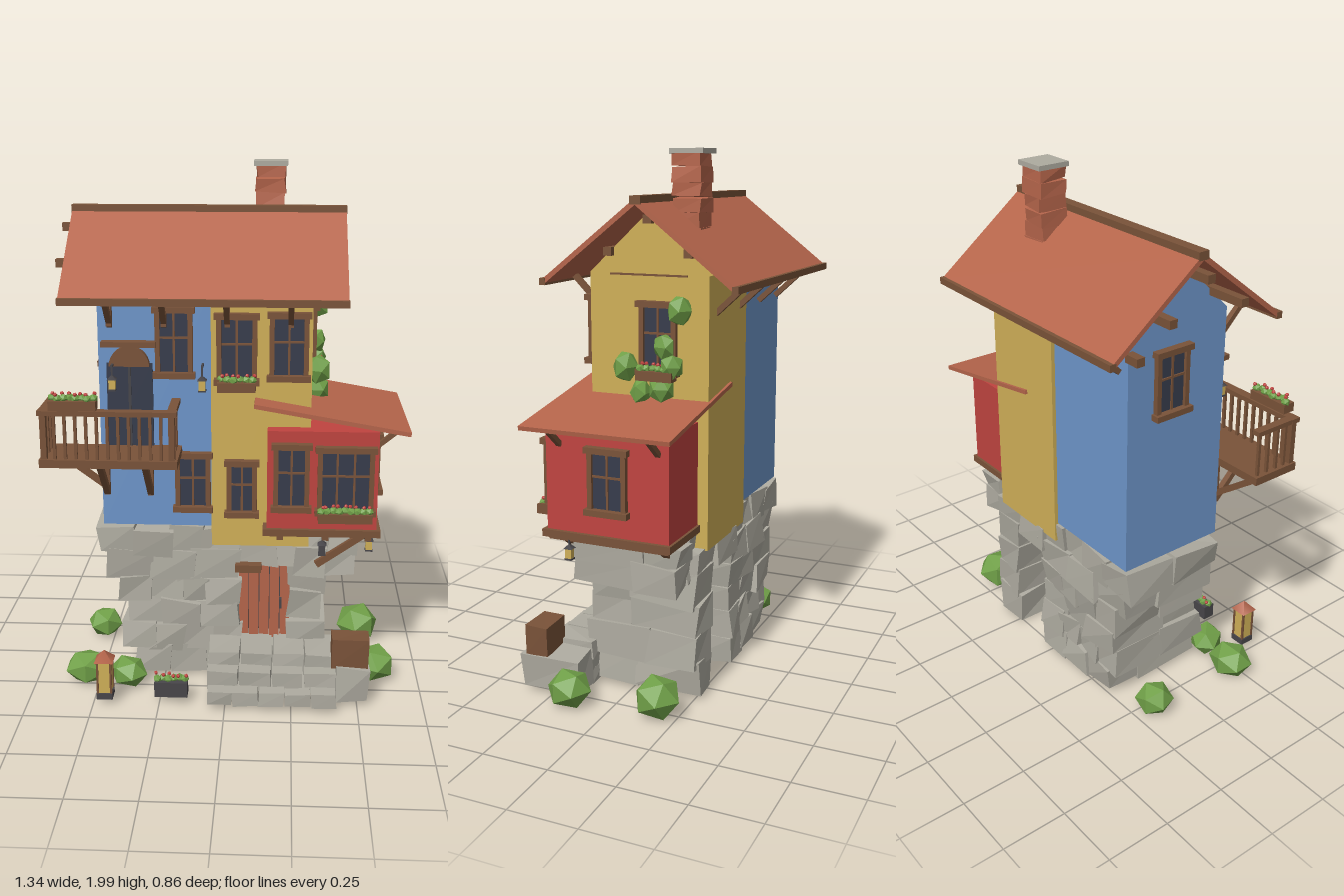
import * as THREE from 'three';

const mat = (name, color) => {
  const m = new THREE.MeshStandardMaterial({ color });
  m.name = name;
  return m;
};

export function createModel() {
  const root = new THREE.Group();
  root.name = 'house';
  const M = {
    roof: mat('terracotta', 0xb5654b), yellow: mat('yellow plaster', 0xd0b058),
    blue: mat('blue plaster', 0x6e96ca), red: mat('red plaster', 0xc04440),
    stone: mat('stone', 0xaeaba0), wood: mat('wood', 0x7a5339),
    glass: mat('dark glass', 0x373c4c), leaf: mat('leaves', 0x70a048),
    metal: mat('dark metal', 0x48464a),
  };
  let seed = 7;
  const rnd = () => (seed = (seed * 16807) % 2147483647) / 2147483647;
  const jit = (a) => (rnd() - 0.5) * 2 * a;

  const add = (name, geo, m, p = [0, 0, 0], parent = root) => {
    const mesh = new THREE.Mesh(geo, m);
    mesh.name = name;
    mesh.position.set(...p);
    parent.add(mesh);
    return mesh;
  };
  // box given by its limits on each axis
  const span = (name, m, x0, x1, y0, y1, z0, z1, parent = root) =>
    add(name, new THREE.BoxGeometry(x1 - x0, y1 - y0, z1 - z0), m,
      [(x0 + x1) / 2, (y0 + y1) / 2, (z0 + z1) / 2], parent);
  // bar of square section between two points
  const beam = (name, a, b, t = 0.02, m = M.wood, parent = root) => {
    const A = new THREE.Vector3(...a), B = new THREE.Vector3(...b);
    const mesh = add(name, new THREE.BoxGeometry(t, t, A.distanceTo(B)), m, [0, 0, 0], parent);
    mesh.position.copy(A).lerp(B, 0.5);
    mesh.lookAt(B);
    return mesh;
  };
  // rough block: each of the eight corners is shifted
  const stone = (x0, x1, y0, y1, z0, z1, a = 0.013, m = M.stone, name = 'stone', parent = root) => {
    const g = new THREE.BoxGeometry(x1 - x0, y1 - y0, z1 - z0).toNonIndexed();
    const off = Array.from({ length: 8 }, () => [jit(a), jit(a), jit(a)]);
    const p = g.attributes.position;
    for (let i = 0; i < p.count; i++) {
      const x = p.getX(i), y = p.getY(i), z = p.getZ(i);
      const o = off[(x > 0) + 2 * (y > 0) + 4 * (z > 0)];
      p.setXYZ(i, x + o[0], y + o[1], z + o[2]);
    }
    g.computeVertexNormals();
    return add(name, g, m, [(x0 + x1) / 2, (y0 + y1) / 2, (z0 + z1) / 2], parent);
  };
  // one course of blocks, n across and two deep
  const course = (x0, x1, y0, y1, n, z0 = -0.265, z1 = 0.165) => {
    const w = (x1 - x0) / n, s = jit(0.06) - 0.05;
    for (let i = 0; i < n; i++) {
      const a = x0 + i * w - 0.008, b = x0 + (i + 1) * w + 0.008;
      stone(a, b, y0 - 0.006, y1 + 0.006, s - 0.008, z1 + jit(0.012));
      stone(a, b, y0 - 0.006, y1 + 0.006, z0 + jit(0.012), s + 0.008);
    }
  };

  // stone base: left mass, right pillar, lintel and flared top
  const leftEdge = [-0.36, -0.4, -0.39, -0.41, -0.46, -0.49];
  leftEdge.forEach((x, i) => course(x, 0.04, 0.035 + i * 0.1, 0.135 + i * 0.1, 3 + (i % 2)));
  for (let i = 0; i < 4; i++) course(0.24, 0.36 + jit(0.015), 0.035 + i * 0.115, 0.15 + i * 0.115, 1);
  course(0.03, 0.36, 0.495, 0.58, 2);
  course(0.26, 0.49, 0.47, 0.56, 2, -0.24);
  course(0.3, 0.48, 0.56, 0.635, 2, -0.24);
  span('passage back', M.metal, 0.03, 0.25, 0.1, 0.5, 0.04, 0.06);
  span('passage floor', M.stone, 0.03, 0.25, 0.04, 0.17, -0.1, 0.2);

  // steps and landing
  [[0.14, 0.19, 0.31, 4], [0.085, 0.14, 0.37, 4], [0.03, 0.085, 0.425, 5]].forEach(([y0, y1, z1, n], k) => {
    const w = 0.49 / n;
    for (let i = 0; i < n; i++) {
      const x = -0.07 + i * w;
      stone(x + 0.002, x + w - 0.002, k === 2 ? y0 : y0 - 0.02, y1, 0.14, z1, 0.005, M.stone, 'step');
    }
  });
  stone(0.415, 0.54, 0.03, 0.165, 0.14, 0.37, 0.008, M.stone, 'landing');

  // plank door
  for (let i = 0; i < 5; i++)
    span('doorPlank', M.roof, 0.043 + i * 0.04, 0.08 + i * 0.04, 0.18, 0.49, 0.12, 0.145 + (i % 2) * 0.006);
  span('doorLintel', M.wood, 0.03, 0.13, 0.47, 0.5, 0.13, 0.19);
  span('doorHandle', M.metal, 0.2, 0.21, 0.31, 0.35, 0.14, 0.165);

  // plastered walls with gables
  const gable = (name, m, x0, x1, y0, zb, zf) => {
    const s = new THREE.Shape();
    s.moveTo(-zf, y0);
    s.lineTo(-zb, y0);
    s.lineTo(-zb, 1.57);
    s.lineTo(0.05, 1.785);
    s.lineTo(-zf, 1.57);
    const g = new THREE.ExtrudeGeometry(s, { depth: x1 - x0, bevelEnabled: false }).rotateY(Math.PI / 2);
    add(name, g, m, [x0, 0, 0]);
  };
  gable('blueWalls', M.blue, -0.475, -0.055, 0.655, -0.265, 0.17);
  gable('yellowWalls', M.yellow, -0.06, 0.31, 0.58, -0.28, 0.18);
  span('redBay', M.red, 0.15, 0.56, 0.66, 1.055, -0.24, 0.235);
  span('gableTie', M.wood, 0.31, 0.314, 1.563, 1.57, -0.2, 0.1);

  // main roof: two slabs, ridge, eaves, purlins and braces
  const slope = (z1, name) => {
    const L = Math.hypot(z1 + 0.055, 0.285);
    const m = add(name, new THREE.BoxGeometry(1.02, 0.018, L), M.roof, [-0.08, 1.68, (z1 - 0.055) / 2]);
    m.rotation.x = Math.atan2(0.285, z1 + 0.055) * 1;
    if (z1 < 0) m.rotation.x = -Math.atan2(0.285, -(z1 + 0.055));
    span(name + 'Eave', M.wood, -0.592, 0.432, 1.527, 1.552, z1 - 0.012, z1 + 0.012);
  };
  slope(0.31, 'frontRoof');
  slope(-0.42, 'backRoof');
  span('ridgeBeam', M.wood, -0.592, 0.432, 1.812, 1.842, -0.077, -0.035);
  [[-0.34, 1.55], [-0.21, 1.645], [-0.055, 1.76], [0.1, 1.645]].forEach(([z, y]) =>
    span('purlin', M.wood, -0.63, z === -0.34 ? -0.57 : 0.335, y - 0.015, y + 0.015, z - 0.016, z + 0.016));
  [-0.43, -0.23, 0, 0.23].forEach((x) => {
    beam('eaveBrace', [x, 1.43, 0.17], [x, 1.55, 0.29]);
    beam('eaveBrace', [x, 1.43, -0.27], [x, 1.55, -0.4]);
    span('wallPost', M.wood, x - 0.01, x + 0.01, 1.43, 1.55, 0.165, 0.195);
  });

  // chimney of offset brick courses
  for (let i = 0; i < 7; i++)
    stone(0.095 + jit(0.005), 0.2 + jit(0.005), 1.62 + i * 0.053, 1.672 + i * 0.053, -0.2, -0.092, 0.005, M.roof, 'chimneyCourse');
  span('chimneyCap', M.stone, 0.085, 0.212, 1.982, 2, -0.212, -0.085);

  // bay roof, trim and supports
  const lean = add('bayRoof', new THREE.BoxGeometry(0.575, 0.016, 0.57), M.roof, [0.385, 1.11, -0.005]);
  lean.rotation.z = -0.172;
  span('baySill', M.wood, 0.135, 0.575, 0.648, 0.675, -0.25, 0.25);
  [0.18, -0.2].forEach((z) => {
    beam('bayRoofBrace', [0.56, 0.99, z], [0.645, 1.06, z], 0.018);
    beam('bayBrace', [0.34, 0.51, z], [0.53, 0.645, z], 0.026);
  });
  [0.2, 0.37, 0.53].forEach((x) => span('bayJoist', M.wood, x - 0.012, x + 0.012, 0.63, 0.65, -0.23, 0.24));

  // window: glass, frame, bars, sill and head, facing +z before turning
  const windowAt = (x, y, z, w, h, turn = 0, panes = 2) => {
    const g = new THREE.Group();
    g.name = 'window';
    g.position.set(x, y, z);
    g.rotation.y = turn;
    root.add(g);
    const W = w / 2, H = h / 2;
    span('glass', M.glass, -W, W, -H, H, 0, 0.008, g);
    [-1, 1].forEach((s) => span('jamb', M.wood, s * W - 0.009, s * W + 0.009, -H, H, 0, 0.02, g));
    for (let i = 1; i < panes; i++) {
      const b = -W + (w * i) / panes;
      span('bar', M.wood, b - 0.004, b + 0.004, -H, H, 0, 0.013, g);
    }
    span('crossBar', M.wood, -W, W, H * 0.15 - 0.004, H * 0.15 + 0.004, 0, 0.013, g);
    span('sill', M.wood, -W - 0.018, W + 0.018, -H - 0.012, -H + 0.01, 0, 0.034, g);
    span('head', M.wood, -W - 0.018, W + 0.018, H - 0.01, H + 0.012, 0, 0.03, g);
  };
  windowAt(-0.195, 1.37, 0.17, 0.12, 0.24);
  windowAt(-0.13, 0.835, 0.17, 0.115, 0.21);
  windowAt(0.035, 1.35, 0.18, 0.13, 0.24);
  windowAt(0.225, 1.36, 0.18, 0.125, 0.23);
  windowAt(0.055, 0.815, 0.18, 0.095, 0.2);
  windowAt(0.24, 0.88, 0.235, 0.115, 0.24);
  windowAt(0.44, 0.87, 0.235, 0.19, 0.24, 0, 3);
  windowAt(0.56, 0.875, -0.01, 0.13, 0.22, Math.PI / 2);
  windowAt(0.31, 1.345, -0.09, 0.125, 0.24, Math.PI / 2);
  windowAt(-0.475, 1.36, -0.08, 0.125, 0.23, -Math.PI / 2);

  // leaves and flower boxes
  const bush = (x, y, z, r, sx = 1, sy = 1, sz = 1, name = 'bush', m = M.leaf, parent = root) => {
    const b = add(name, new THREE.IcosahedronGeometry(r, 0), m, [x, y, z], parent);
    b.scale.set(sx, sy, sz);
    b.rotation.y = rnd() * 3;
  };
  const flowerBox = (x, y, z, w, turn = 0, m = M.wood, h = 0.035) => {
    const g = new THREE.Group();
    g.name = 'flowerBox';
    g.position.set(x, y, z);
    g.rotation.y = turn;
    root.add(g);
    span('box', m, -w / 2, w / 2, -h / 2, h / 2, -0.025, 0.025, g);
    for (let i = 0, n = Math.round(w / 0.022); i < n; i++) {
      const px = -w / 2 + ((i + 0.5) * w) / n;
      bush(px, h / 2 + 0.006, jit(0.01), 0.017, 1, 1, 1, 'plant', M.leaf, g);
      bush(px + jit(0.008), h / 2 + 0.022, jit(0.014), 0.008, 1, 1, 1, 'flower', M.red, g);
    }
  };
  flowerBox(0.035, 1.215, 0.21, 0.14);
  flowerBox(0.44, 0.735, 0.265, 0.2);
  flowerBox(0.34, 1.215, -0.09, 0.14, Math.PI / 2);
  flowerBox(-0.54, 1.18, 0.36, 0.17);
  flowerBox(-0.205, 0.07, 0.365, 0.125, 0, M.metal, 0.06);
  [[1.24, 0.03, 0.055], [1.45, -0.18, 0.052], [1.32, -0.12, 0.045], [1.25, -0.15, 0.045],
    [1.17, -0.11, 0.05], [1.15, -0.03, 0.05]].forEach(([y, z, r]) => bush(0.335, y, z, r, 0.75, 1.1, 1, 'vine'));
  bush(-0.55, 0.07, 0.22, 0.08, 1.15, 0.85, 1);
  bush(-0.385, 0.065, 0.24, 0.07, 1.2, 0.85, 1);
  bush(-0.54, 0.07, -0.17, 0.075, 1, 0.85, 1);
  bush(0.58, 0.08, 0.15, 0.085, 1, 0.85, 1);
  bush(0.53, 0.09, -0.18, 0.09, 1, 0.9, 1);

  // balcony: floor, rail, balusters and braces
  span('balconyFloor', M.wood, -0.67, -0.17, 0.945, 0.975, 0.17, 0.37);
  span('frontRail', M.wood, -0.67, -0.17, 1.14, 1.158, 0.335, 0.372);
  [-0.652, -0.19].forEach((x) => {
    span('sideRail', M.wood, x - 0.016, x + 0.016, 1.14, 1.158, 0.17, 0.36);
    [0.19, 0.235, 0.28, 0.32].forEach((z) => beam('baluster', [x, 0.97, z], [x, 1.145, z], 0.011));
  });
  for (let i = 0; i < 13; i++) {
    const x = -0.652 + i * 0.0385;
    beam('baluster', [x, 0.97, 0.353], [x, 1.145, 0.353], i % 12 ? 0.011 : 0.022);
  }
  [-0.455, -0.29].forEach((x) => {
    beam('balconyBrace', [x, 0.79, 0.18], [x, 0.95, 0.34], 0.022);
    span('braceFoot', M.wood, x - 0.011, x + 0.011, 0.78, 0.95, 0.165, 0.188);
  });
  beam('balconyBrace', [-0.465, 0.82, 0.18], [-0.64, 0.95, 0.18], 0.022);

  // balcony door with arched head
  span('balconyDoor', M.glass, -0.445, -0.275, 0.975, 1.29, 0.168, 0.178);
  add('arch', new THREE.CylinderGeometry(0.075, 0.075, 0.024, 14, 1, false, Math.PI / 2, Math.PI)
    .rotateX(Math.PI / 2), M.wood, [-0.36, 1.28, 0.18]);
  span('doorHead', M.wood, -0.46, -0.26, 1.355, 1.375, 0.168, 0.21);
  [-0.36].forEach((x) => span('doorBar', M.metal, x - 0.005, x + 0.005, 0.975, 1.28, 0.17, 0.184));

  // lanterns on brackets and under the bay
  const lantern = (x, y, z, m) => {
    span('lanternGlass', m, x - 0.012, x + 0.012, y - 0.018, y + 0.018, z - 0.012, z + 0.012);
    add('lanternCap', new THREE.ConeGeometry(0.024, 0.018, 4, 1).rotateY(Math.PI / 4), M.metal, [x, y + 0.027, z]);
    span('lanternBase', M.metal, x - 0.014, x + 0.014, y - 0.024, y - 0.018, z - 0.014, z + 0.014);
    beam('lanternHook', [x, y + 0.03, z], [x, y + 0.07, z], 0.006, M.metal);
  };
  [-0.42, -0.09].forEach((x) => {
    lantern(x, 1.22, 0.215, M.yellow);
    beam('lanternArm', [x, 1.288, 0.16], [x, 1.288, 0.22], 0.008, M.metal);
  });
  lantern(0.36, 0.585, 0.21, M.metal);
  lantern(0.54, 0.585, 0.16, M.yellow);

  // garden lamp and crate
  span('lampFoot', M.metal, -0.485, -0.425, 0.035, 0.06, 0.35, 0.41);
  span('lampBody', M.yellow, -0.48, -0.43, 0.06, 0.19, 0.355, 0.405);
  [-0.48, -0.43].forEach((x) => [0.355, 0.405].forEach((z) =>
    beam('lampPost', [x, 0.05, z], [x, 0.19, z], 0.008)));
  add('lampRoof', new THREE.ConeGeometry(0.05, 0.04, 4).rotateY(Math.PI / 4), M.roof, [-0.455, 0.208, 0.38]);
  stone(0.4, 0.54, 0.16, 0.275, 0.265, 0.355, 0.003, M.wood, 'crate');

  return root;
}
